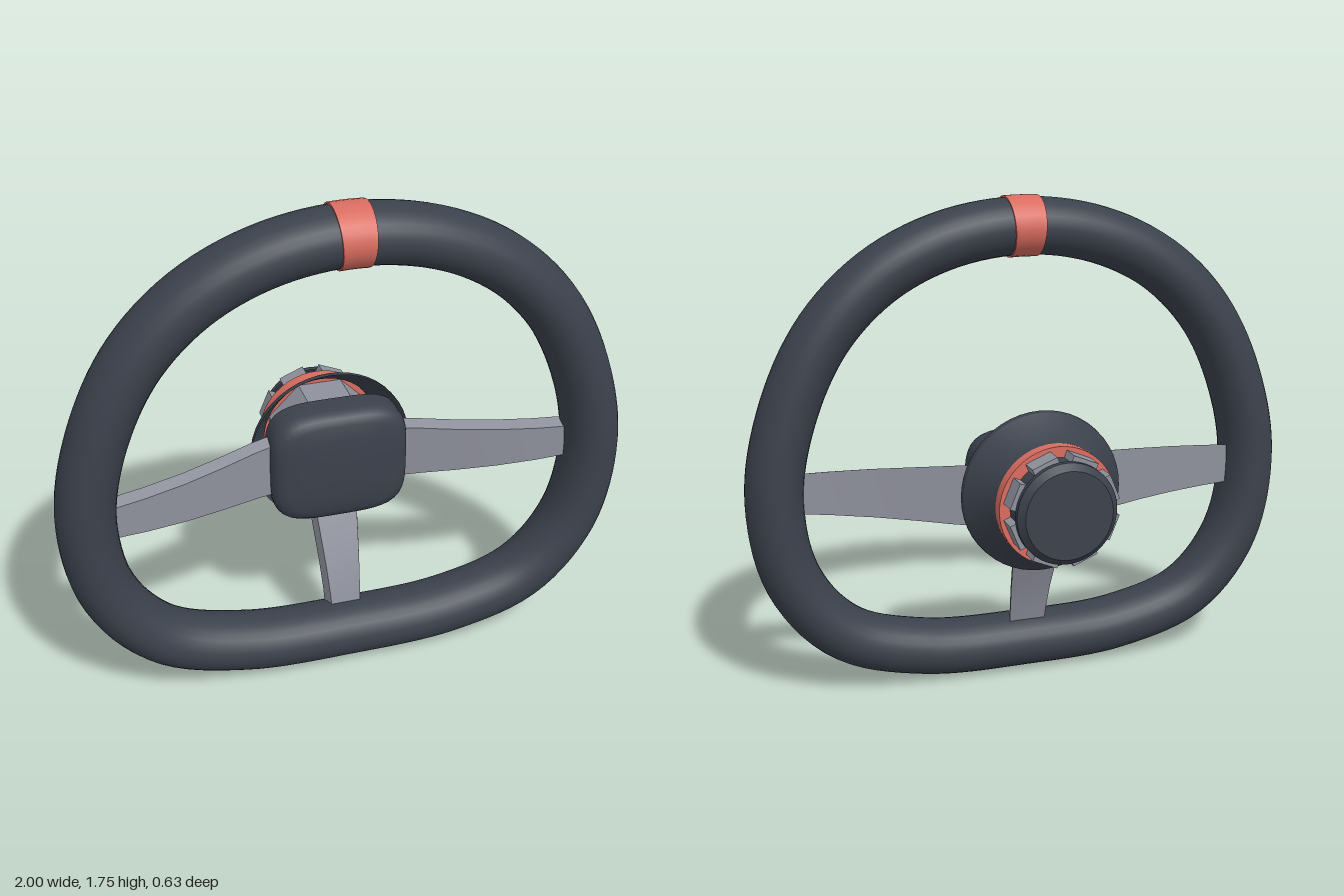
import * as THREE from 'three';
import { toCreasedNormals } from 'three/addons/utils/BufferGeometryUtils.js';

const dark = new THREE.MeshStandardMaterial({ color: 0x3b414c });
dark.name = 'dark grip';
const darkShell = dark.clone();
darkShell.side = THREE.DoubleSide;
darkShell.name = 'dark shell';
const metal = new THREE.MeshStandardMaterial({ color: 0x8e909c });
metal.name = 'grey metal';
const accent = new THREE.MeshStandardMaterial({ color: 0xd96c60 });
accent.name = 'coral accent';

const HUB_Y = 0.74;

// Skin a list of rings (arrays of Vector3), counter-clockwise about the travel direction
function loft(rings, { loop = false, caps = true, crease = 0.6 } = {}) {
  const n = rings[0].length, m = rings.length;
  const pos = rings.flat().flatMap((p) => [p.x, p.y, p.z]);
  const idx = [];
  for (let i = 0; i < (loop ? m : m - 1); i++) {
    for (let j = 0; j < n; j++) {
      const a = i * n + j, b = i * n + (j + 1) % n;
      const c = ((i + 1) % m) * n + (j + 1) % n, d = ((i + 1) % m) * n + j;
      idx.push(a, b, c, a, c, d);
    }
  }
  if (caps && !loop) {
    const e = (m - 1) * n;
    for (let j = 1; j < n - 1; j++) idx.push(0, j + 1, j, e, e + j, e + j + 1);
  }
  const g = new THREE.BufferGeometry();
  g.setAttribute('position', new THREE.Float32BufferAttribute(pos, 3));
  g.setIndex(idx);
  return toCreasedNormals(g, crease);
}

// Rim centre line: right half, clockwise from the top, then mirrored
const half = [[0, 1.643], [0.28, 1.602], [0.52, 1.487], [0.71, 1.3], [0.84, 1.04],
  [0.9, 0.74], [0.845, 0.43], [0.67, 0.215], [0.38, 0.12], [0, 0.103]];
const mirrored = half.slice(1, -1).reverse().map(([x, y]) => [-x, y]);
const rimPath = new THREE.CatmullRomCurve3(
  [...half, ...mirrored].map(([x, y]) => new THREE.Vector3(x, y, 0.195)), true, 'centripetal');

// Oval ring around the rim centre line at u
function rimRing(u, radial, depth, sides = 28) {
  const p = rimPath.getPointAt((u + 1) % 1), t = rimPath.getTangentAt((u + 1) % 1);
  return Array.from({ length: sides }, (_, j) => {
    const a = (j / sides) * Math.PI * 2, r = radial * Math.cos(a);
    return new THREE.Vector3(p.x - t.y * r, p.y + t.x * r, p.z + depth * Math.sin(a));
  });
}

// Spoke along +x from the hub: [distance, low edge, high edge, depth]
function spokeGeometry(stations) {
  const thick = 0.024, inset = 0.014;
  return loft(stations.map(([x, lo, hi, z]) => [
    new THREE.Vector3(x, lo, z - thick),
    new THREE.Vector3(x, hi, z - thick),
    new THREE.Vector3(x, hi - inset, z + thick),
    new THREE.Vector3(x, lo + inset, z + thick),
  ]), { crease: 0.45 });
}

// Surface of revolution along z, from [radius, z] points listed front to back
function turned(points, sides = 48, crease = 0.5) {
  const g = new THREE.LatheGeometry(
    points.map(([r, z]) => new THREE.Vector2(r, -z)), sides);
  g.rotateX(-Math.PI / 2);
  return toCreasedNormals(g, crease);
}

export function createModel() {
  const model = new THREE.Group();
  const add = (name, geometry, material, y = 0) => {
    const mesh = new THREE.Mesh(geometry, material);
    mesh.name = name;
    mesh.position.y = y;
    model.add(mesh);
    return mesh;
  };

  // Grip rim and the centre marker at its top
  const rimRings = Array.from({ length: 128 }, (_, i) => rimRing(i / 128, 0.101, 0.115));
  add('rim', loft(rimRings, { loop: true, crease: 1.2 }), dark);
  const span = 0.055 / rimPath.getLength();
  const bandRings = Array.from({ length: 7 }, (_, i) => rimRing((i / 3 - 1) * span, 0.107, 0.121));
  add('topMarker', loft(bandRings, { crease: 0.8 }), accent);

  // Side spokes: one is the other turned half way round
  const side = [[0.2, -0.118, 0.108, 0.045], [0.3, -0.108, 0.106, 0.07], [0.42, -0.094, 0.102, 0.108],
    [0.56, -0.078, 0.099, 0.146], [0.7, -0.063, 0.096, 0.172], [0.86, -0.046, 0.093, 0.19]];
  const sideGeometry = spokeGeometry(side);
  add('leftSpoke', sideGeometry, metal, 0.737);
  add('rightSpoke', sideGeometry, metal, 0.737).rotation.z = Math.PI;

  // Lower spoke
  const lower = [[0.228, -0.09, 0.085, 0.052], [0.3, -0.085, 0.08, 0.084], [0.4, -0.078, 0.073, 0.125],
    [0.5, -0.072, 0.067, 0.157], [0.6, -0.068, 0.063, 0.18]];
  add('lowerSpoke', spokeGeometry(lower), metal, HUB_Y).rotation.z = -Math.PI / 2;

  // Centre pad: rounded square with a softly domed face, as [depth, scale]
  const padRings = [[0.008, 1], [0.05, 1], [0.09, 1], [0.108, 0.975], [0.124, 0.92],
    [0.136, 0.8], [0.143, 0.55], [0.146, 0.25], [0.147, 0.02]].map(([z, s]) =>
    Array.from({ length: 64 }, (_, j) => {
      const a = (j / 64) * Math.PI * 2, c = Math.cos(a), d = Math.sin(a);
      const k = s / Math.pow(c ** 4 + d ** 4, 0.25);
      return new THREE.Vector3(0.246 * k * c, 0.212 * k * d, z);
    }));
  add('centrePad', loft(padRings, { crease: 0.7 }), dark, HUB_Y);

  // Eight-sided column behind the pad
  const column = new THREE.CylinderGeometry(0.203, 0.203, 0.18, 8);
  column.rotateY(Math.PI / 8).rotateX(Math.PI / 2).translate(0, 0, -0.075);
  add('hubColumn', toCreasedNormals(column, 0.3), metal, HUB_Y);

  // Flared shroud, open at the front
  add('shroud', turned([[0.29, -0.012], [0.288, -0.035], [0.212, -0.135], [0.207, -0.16]]), darkShell, HUB_Y);

  // Coral collar
  add('collar', turned([[0, -0.155], [0.21, -0.155], [0.21, -0.2], [0, -0.2]]), accent, HUB_Y);

  // Release boss with chamfered end cap
  add('releaseBoss', turned([[0.172, -0.195], [0.172, -0.272], [0.178, -0.272],
    [0.178, -0.292], [0.155, -0.315], [0, -0.315]]), dark, HUB_Y);

  // Grip lugs around the boss
  const lugs = new THREE.Group();
  lugs.name = 'gripLugs';
  lugs.position.y = HUB_Y;
  const lugGeometry = new THREE.BoxGeometry(0.05, 0.094, 0.075).translate(0.167, 0, -0.235);
  for (let i = 0; i < 8; i++) {
    const lug = new THREE.Mesh(lugGeometry, metal);
    lug.name = 'gripLug';
    lug.rotation.z = ((i + 0.5) / 8) * Math.PI * 2;
    lugs.add(lug);
  }
  model.add(lugs);

  return model;
}
